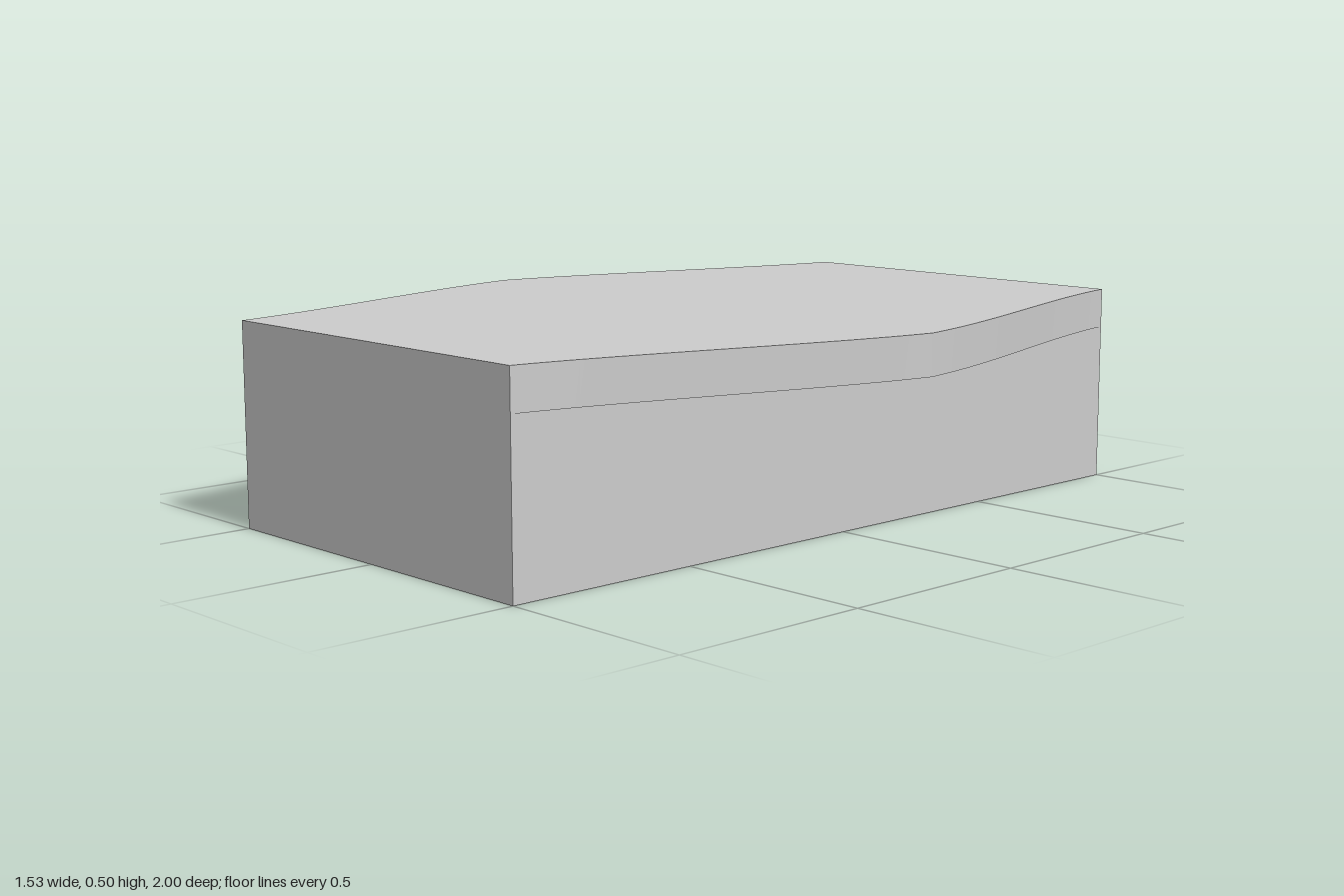
import * as THREE from 'three';

const HALF = 0.5, TOP = 0.5, LEDGE = 0.4, STEPS = 24;
const material = new THREE.MeshStandardMaterial({ color: 0xcccccc, side: THREE.DoubleSide });

// Bulging outline of one half side: from the end (z = 1) to the middle (z = 0)
const outline = new THREE.CubicBezierCurve(
  new THREE.Vector2(HALF, 1), new THREE.Vector2(0.55, 0.7),
  new THREE.Vector2(0.72, 0.3), new THREE.Vector2(0.765, 0)
).getPoints(STEPS);
const frontHalf = outline.map(p => [p.x, p.y]);
const backHalf = outline.map(p => [p.x, -p.y]).reverse();

// Surface swept from front to back between two section points, each given as w => [x, y]
function strip(name, stations, from, to) {
  const positions = [], index = [];
  stations.forEach(([w, z], i) => {
    positions.push(...from(w), z, ...to(w), z);
    if (i > 0) {
      const a = 2 * i - 2;
      index.push(a, a + 1, a + 2, a + 1, a + 3, a + 2);
    }
  });
  const geometry = new THREE.BufferGeometry();
  geometry.setAttribute('position', new THREE.Float32BufferAttribute(positions, 3));
  geometry.setIndex(index);
  geometry.computeVertexNormals();
  const mesh = new THREE.Mesh(geometry, material);
  mesh.name = name;
  return mesh;
}

export function createModel() {
  const model = new THREE.Group();
  model.name = 'openShell';

  // Hollow shell, open underneath; the halves meet in a soft crease at z = 0
  for (const [end, stations] of [['front', frontHalf], ['back', backHalf]]) {
    model.add(
      strip(end + 'Top', stations, w => [-w, TOP], w => [w, TOP]),
      strip(end + 'RightWall', stations, () => [-HALF, 0], () => [-HALF, LEDGE]),
      strip(end + 'RightLedge', stations, () => [-HALF, LEDGE], w => [-w, LEDGE]),
      strip(end + 'RightRim', stations, w => [-w, LEDGE], w => [-w, TOP]),
      strip(end + 'LeftRim', stations, w => [w, TOP], w => [w, LEDGE]),
      strip(end + 'LeftLedge', stations, w => [w, LEDGE], () => [HALF, LEDGE]),
      strip(end + 'LeftWall', stations, () => [HALF, LEDGE], () => [HALF, 0])
    );
  }

  // Flat end walls
  for (const side of [1, -1]) {
    const wall = new THREE.Mesh(new THREE.PlaneGeometry(2 * HALF, TOP), material);
    wall.name = side > 0 ? 'frontWall' : 'backWall';
    wall.position.set(0, TOP / 2, side);
    if (side < 0) wall.rotation.y = Math.PI;
    model.add(wall);
  }
  return model;
}
